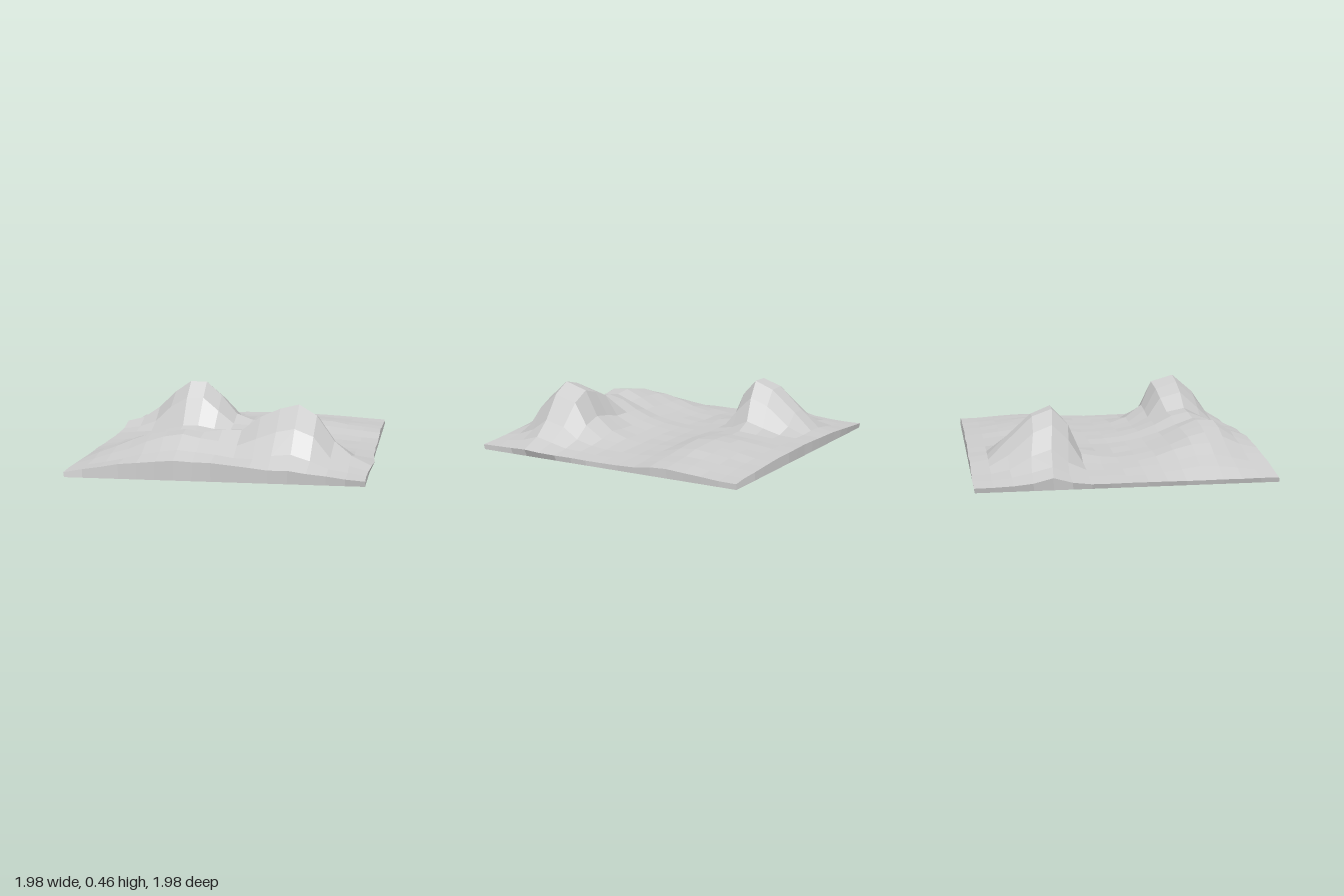
import * as THREE from 'three';

const N = 16; // cells per side

// Each landform combines a west-east and a back-front profile, sampled at the grid lines.
// bend shifts the back-front profile column by column, so a crest can curve.
const landforms = {
  backHill: {
    height: 0.345, round: 0.6,
    x: [0.14, 0.22, 0.42, 0.78, 1, 0.98, 0.66, 0.22, 0.06, 0, 0, 0, 0, 0, 0, 0, 0],
    z: [0, 0.06, 0.4, 0.85, 1, 0.68, 0.12, 0.05, 0, 0, 0, 0, 0, 0, 0, 0, 0],
  },
  frontHill: {
    height: 0.375, round: 0.35,
    x: [0, 0, 0, 0, 0, 0, 0, 0, 0.05, 0.22, 0.6, 0.88, 1, 0.83, 0.4, 0.17, 0.04],
    z: [0, 0, 0, 0, 0, 0, 0, 0, 0, 0.05, 0.15, 0.4, 0.86, 1, 0.65, 0.26, 0.06],
  },
  ridge: {
    height: 0.19, round: 0,
    x: [0, 0.25, 0.45, 0.68, 0.85, 0.93, 1, 0.88, 0.9, 0.6, 0.3, 0.05, 0, 0, 0, 0, 0],
    z: [0, 0, 0, 0, 0, 0, 0, 0, 0, 0.08, 0.2, 0.42, 0.75, 1, 0.92, 0.5, 0.28],
    bend: [-0.7, -0.7, -0.7, -0.6, -0.3, 0, 0.1, 0, -0.4, -0.7, -0.8, -0.8, 0, 0, 0, 0, 0],
  },
  lowRise: {
    height: 0.055, round: 0,
    x: [0, 0, 0, 0, 0, 0, 0, 0.1, 0.3, 0.6, 0.9, 1, 1, 0.9, 0.7, 0.6, 0.5],
    z: [0, 0.15, 0.45, 0.8, 1, 0.8, 0.2, 0, 0, 0, 0, 0, 0, 0, 0, 0, 0],
  },
};

// Profile value at a fractional grid line
function sample(profile, t) {
  const c = THREE.MathUtils.clamp(t, 0, N);
  const k = Math.min(N - 1, Math.floor(c));
  return THREE.MathUtils.lerp(profile[k], profile[k + 1], c - k);
}

// Strength of a landform at a grid point; round trims the diagonal corners of its footprint
function weight(f, i, j) {
  const a = f.x[i];
  const b = sample(f.z, j - (f.bend ? f.bend[i] : 0));
  return THREE.MathUtils.lerp(a * b, Math.max(0, a + b - 1), f.round);
}

// Repeatable small unevenness in -1..1
const rough = (i, j) => Math.sin(i * 2.3 + j * 0.7) * Math.cos(j * 1.9 - i * 0.6);

// One shared normal per four-sided facet (six corners each)
function facetQuads(geometry) {
  const flat = geometry.toNonIndexed();
  flat.computeVertexNormals();
  const normal = flat.attributes.normal;
  const sum = new THREE.Vector3();
  const n = new THREE.Vector3();
  for (let q = 0; q < normal.count; q += 6) {
    sum.set(0, 0, 0);
    for (let c = 0; c < 6; c++) sum.add(n.fromBufferAttribute(normal, q + c));
    sum.normalize();
    for (let c = 0; c < 6; c++) normal.setXYZ(q + c, sum.x, sum.y, sum.z);
  }
  return flat;
}

export function createModel() {
  const group = new THREE.Group();

  // A subdivided slab: lower vertices form a slightly tilted base, upper ones the terrain
  const geometry = new THREE.BoxGeometry(2, 1, 2, N, 1, N);
  const pos = geometry.attributes.position;
  for (let k = 0; k < pos.count; k++) {
    const i = Math.round((pos.getX(k) + 1) * N / 2);
    const j = Math.round((pos.getZ(k) + 1) * N / 2);
    const isTop = pos.getY(k) > 0;
    let x = -0.98 + (1.945 * i) / N;
    let z = -0.985 + (1.965 * j) / N;
    let y = 0.015 * (x + 0.98) + 0.01 * (0.98 - z);

    if (isTop) {
      // Gentle plain, arched across the width
      const edge = i === 0 || j === 0 || i === N || j === N;
      y += 0.03 + 0.045 * Math.max(0, 1 - x * x) + (edge ? 0.002 : 0.004) * rough(i, j);
      for (const f of Object.values(landforms)) y += f.height * weight(f, i, j);

      // Steep inner slopes: pull the hill rows towards the middle
      const back = weight(landforms.backHill, i, j);
      const front = weight(landforms.frontHill, i, j);
      x += 0.025 * (back + front);
      if (j >= 3) z += 0.06 * back;
      if (j === 12) z -= 0.05 * front;
      if (j === 14) z += 0.04 * front;

      // Slightly uneven rim
      x += 0.004 * rough(j, i);
      z += 0.004 * rough(i, j + 3) + 0.008 * x;
      if (i === N) x += 0.025 * Math.max(0, 1 - Math.abs(j - 12) / 2);
      if (i === 0) x -= 0.01;
    }
    pos.setXYZ(k, x, Math.max(0, y), z);
  }

  const terrain = new THREE.Mesh(
    facetQuads(geometry),
    new THREE.MeshStandardMaterial({ color: 0xcccccc })
  );
  terrain.name = 'terrain';
  group.add(terrain);
  return group;
}
